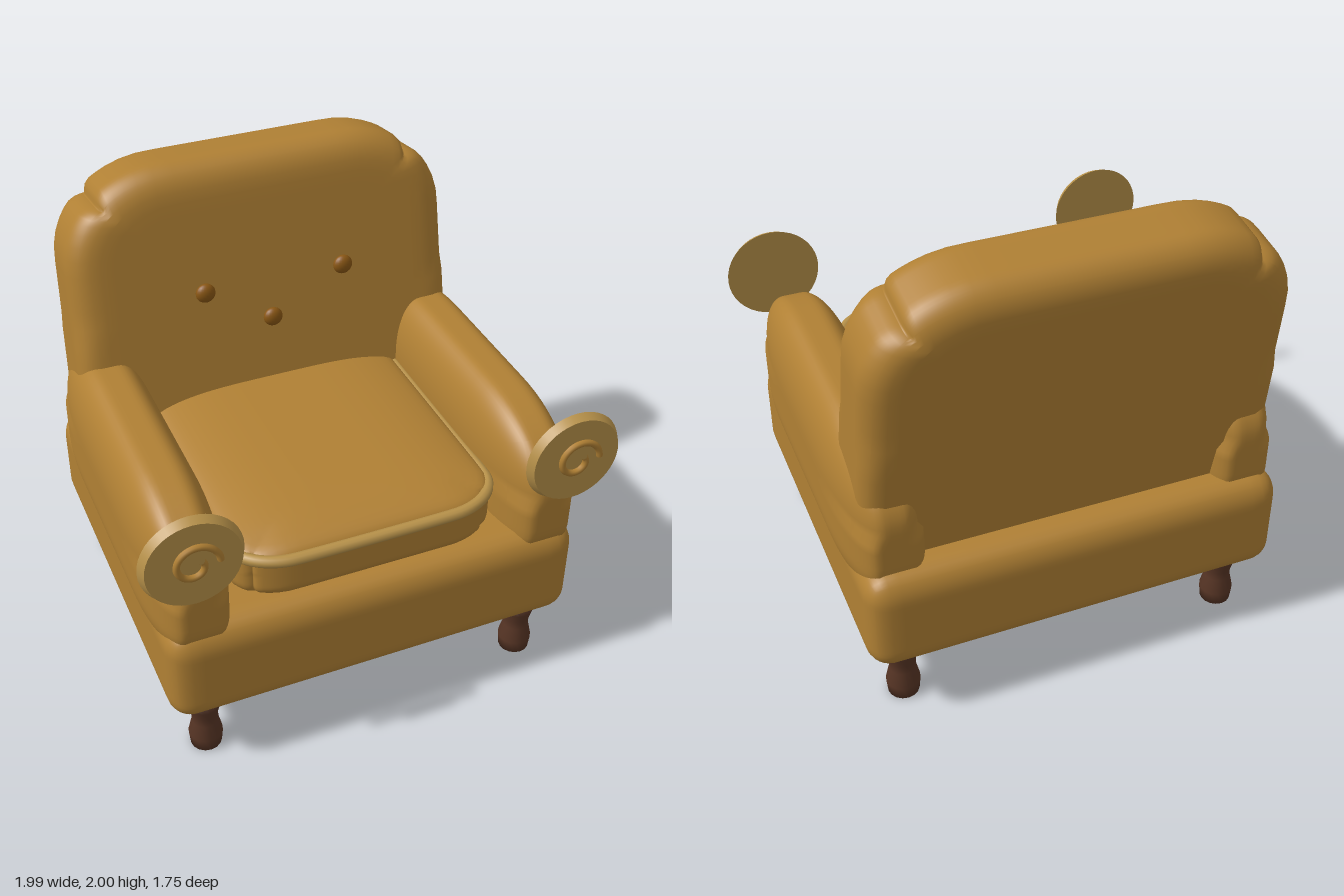
import * as THREE from 'three';
import { mergeVertices } from 'three/addons/utils/BufferGeometryUtils.js';

const mat = (color) => new THREE.MeshStandardMaterial({ color });
const fabric = mat(0xb08034), trim = mat(0xb8924a), buttonMat = mat(0x8a5714), wood = mat(0x573525);

// Upholstered block: a box with elliptical edge radii, then an optional deform rule.
function softBox(half, rTop, rBottom = rTop, deform = null, seg = 28) {
  let geo = new THREE.BoxGeometry(2, 2, 2, seg, seg, seg);
  geo.deleteAttribute('normal');
  geo.deleteAttribute('uv');
  geo = mergeVertices(geo);
  const pos = geo.attributes.position;
  const p = new THREE.Vector3(), inner = new THREE.Vector3();
  const h = new THREE.Vector3(...half);
  for (let i = 0; i < pos.count; i++) {
    p.fromBufferAttribute(pos, i);
    const r = new THREE.Vector3(...(p.y > 0 ? rTop : rBottom));
    // rows of vertices crowd towards the edges
    p.set(Math.sin(p.x * Math.PI / 2), Math.sin(p.y * Math.PI / 2), Math.sin(p.z * Math.PI / 2)).multiply(h);
    const lim = h.clone().sub(r);
    inner.copy(p).clamp(lim.clone().negate(), lim);
    p.sub(inner).divide(r).normalize().multiply(r).add(inner);
    if (deform) deform(p);
    pos.setXYZ(i, p.x, p.y, p.z);
  }
  geo.computeVertexNormals();
  return geo;
}

// Pulls a square plan corner into an ellipse: a and b are the two axes.
function roundCorner(p, a, b, ha, hb, ra, rb) {
  const qa = (Math.abs(p[a]) - (ha - ra)) / ra;
  const qb = (p[b] - (hb - rb)) / rb;
  if (qa <= 0 || qb <= 0) return;
  const k = Math.max(qa, qb) / Math.hypot(qa, qb);
  p[a] = Math.sign(p[a]) * (ha - ra + qa * k * ra);
  p[b] = hb - rb + qb * k * rb;
}

export function createModel() {
  const model = new THREE.Group();
  const add = (name, geo, material, x = 0, y = 0, z = 0) => {
    const mesh = new THREE.Mesh(geo, material);
    mesh.name = name;
    mesh.position.set(x, y, z);
    model.add(mesh);
    return mesh;
  };

  // Base
  add('base', softBox([0.895, 0.235, 0.83], [0.1, 0.12, 0.1], [0.1, 0.1, 0.1]), fabric, 0, 0.515, -0.02);

  // Leaning backrest with broad top corners and a slight taper
  const back = softBox([0.86, 0.72, 0.195], [0.13, 0.14, 0.12], [0.1, 0.1, 0.1], (p) => {
    roundCorner(p, 'x', 'y', 0.86, 0.72, 0.45, 0.38);
    p.x *= 1 - 0.03 * p.y;
    p.z *= 1 - 0.05 * p.y;
  });
  add('backrest', back, fabric, 0, 1.28, -0.59).rotation.x = -0.16;

  // Seat cushion, crowned on top, with rounded front corners
  const cushion = softBox([0.58, 0.11, 0.57], [0.05, 0.04, 0.05], [0.06, 0.06, 0.06], (p) => {
    const u = p.x / 0.58, v = Math.max(0, p.z / 0.57);
    if (p.y > 0) p.y += 0.06 * (1 - u ** 4) * (1 - v ** 4) * (p.y / 0.11);
    roundCorner(p, 'x', 'z', 0.58, 0.57, 0.24, 0.19);
  });
  add('seatCushion', cushion, fabric, 0, 0.845, 0.15);

  // Piping round the cushion's front edge
  const path = [new THREE.Vector3(-0.57, 0, -0.35), new THREE.Vector3(-0.57, 0, 0.2)];
  for (const s of [-1, 1]) {
    for (let i = 0; i <= 8; i++) {
      const a = (s < 0 ? i : 8 - i) / 8 * Math.PI / 2;
      path.push(new THREE.Vector3(s * (0.33 + 0.24 * Math.cos(a)), 0, 0.53 + 0.19 * Math.sin(a)));
    }
  }
  path.push(new THREE.Vector3(0.57, 0, 0.2), new THREE.Vector3(0.57, 0, -0.35));
  const pipe = new THREE.CatmullRomCurve3(path, false, 'centripetal');
  add('piping', new THREE.TubeGeometry(pipe, 120, 0.025, 10), trim, 0, 0.93, 0);

  // Spiral for the arm scrolls
  const coil = [];
  for (let i = 0; i <= 24; i++) {
    const t = i / 24, a = t * Math.PI * 2.15, r = 0.1 - 0.068 * t;
    coil.push(new THREE.Vector3(r * Math.cos(a), r * Math.sin(a), 0));
  }
  const coilCurve = new THREE.CatmullRomCurve3(coil);

  for (const s of [1, -1]) {
    const side = s > 0 ? 'left' : 'right';
    // Arm
    add(side + 'Arm', softBox([0.172, 0.34, 0.785], [0.13, 0.28, 0.48], [0.1, 0.2, 0.4]), fabric, s * 0.75, 0.89, 0.005);

    // Arm scroll: disc and raised spiral
    const disc = new THREE.CylinderGeometry(0.188, 0.205, 0.035, 40);
    disc.rotateX(Math.PI / 2);
    add(side + 'ScrollDisc', disc, trim, s * 0.79, 1.17, 0.8375);
    add(side + 'ScrollSpiral', new THREE.TubeGeometry(coilCurve, 60, 0.014, 8), fabric, s * 0.79, 1.17, 0.861);

    // Turned legs
    const profile = [[0, 0], [0.066, 0], [0.072, 0.06], [0.056, 0.13], [0.056, 0.17], [0.068, 0.22], [0.083, 0.3], [0, 0.3]];
    for (const [end, z] of [['Front', 0.66], ['Back', -0.68]]) {
      const leg = new THREE.LatheGeometry(profile.map(([r, y]) => new THREE.Vector2(r, y)), 16);
      add(side + end + 'Leg', leg, wood, s * 0.73, 0, z);
    }
  }

  // Tufting buttons
  for (const [x, y, z] of [[-0.312, 1.505, -0.355], [0.312, 1.505, -0.355], [0, 1.295, -0.388]]) {
    add('button', new THREE.SphereGeometry(0.043, 20, 14), buttonMat, x, y, z).scale.z = 0.65;
  }

  return model;
}
